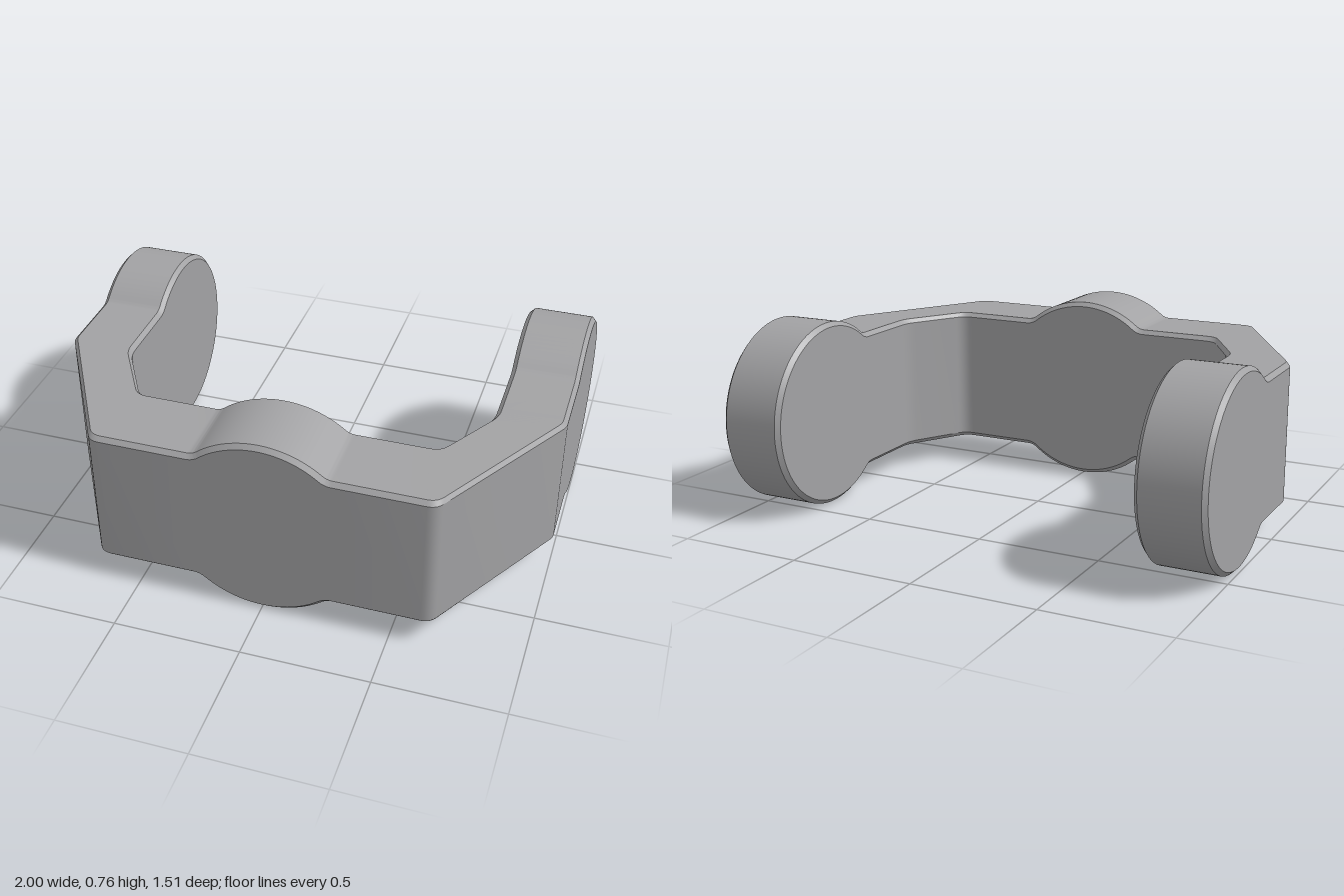
import * as THREE from 'three';
import { toCreasedNormals } from 'three/addons/utils/BufferGeometryUtils.js';

const MID_Y = 0.38;   // height of the centre line
const BAND = 0.285;   // half height of the plain band
const BEVEL = 0.017;
const FILLET = 0.06;  // blend between band and round pads

// Upper outline of a round pad: from its blend with the band over to angle endPhi.
// Each point holds its position along the band (u), half height (h) and normal (nu, nh).
function padOutline(R, endPhi, arcSteps) {
  const du = Math.sqrt((R + FILLET) ** 2 - (BAND + FILLET) ** 2);
  const phi0 = Math.atan2(du, BAND + FILLET);
  const points = [];
  for (let i = 0; i < 6; i++) {
    const a = phi0 * i / 6;
    const nu = Math.sin(a), nh = Math.cos(a);
    points.push({ u: du - FILLET * nu, h: BAND + FILLET - FILLET * nh, nu, nh });
  }
  for (let i = 0; i <= arcSteps; i++) {
    const a = phi0 + (endPhi - phi0) * i / arcSteps;
    const nu = Math.sin(a), nh = Math.cos(a);
    points.push({ u: R * nu, h: R * nh, nu, nh });
  }
  return points;
}

// Rounded corner in plan, as [x, z] points
function corner(a, p, b, size, steps) {
  const P = new THREE.Vector2(...p);
  const toward = (q) => new THREE.Vector2(...q).sub(P).setLength(size).add(P);
  return new THREE.QuadraticBezierCurve(toward(a), P, toward(b)).getPoints(steps);
}

// Stations from the middle of the front to the tip of the left arm
function halfStations() {
  const stations = [];
  const zOut = 0.755, zIn = 0.435, xOut = 1, xIn = 0.735;

  // Front bar with its round bulge
  for (const p of padOutline(0.38, 0, 14).reverse()) {
    stations.push({ ...p, at: (u) => [[u, zOut], [u, zIn]] });
  }

  // Two bends between the front bar and the arm
  const outer = [[0, zOut], [0.651, zOut], [xOut, 0.15], [xOut, -0.1]];
  const inner = [[0, zIn], [0.59, zIn], [xIn, 0.185], [xIn, -0.1]];
  for (const k of [1, 2]) {
    const o = corner(outer[k - 1], outer[k], outer[k + 1], k === 1 ? 0.035 : 0.02, 5);
    const n = corner(inner[k - 1], inner[k], inner[k + 1], 0.04, 5);
    o.forEach((q, i) => stations.push({
      u: 0, h: BAND, nu: 0, nh: 1,
      at: () => [[q.x, q.y], [n[i].x, n[i].y]],
    }));
  }

  // Arm with its round end
  for (const p of padOutline(0.374, -Math.PI / 2, 40)) {
    stations.push({ ...p, at: (u) => [[xOut, -0.38 + u], [xIn, -0.38 + u]] });
  }
  return stations;
}

// Bevelled eight-point cross-section at a station
function section(s, mirror) {
  const column = (inset, side) => {
    const [o, n] = s.at(s.u - inset * s.nu);
    const f = BEVEL / Math.hypot(o[0] - n[0], o[1] - n[1]);
    const t = [0, f, 1 - f, 1][side];
    return [
      mirror * (o[0] + (n[0] - o[0]) * t),
      Math.max(0, s.h - inset * s.nh),
      o[1] + (n[1] - o[1]) * t,
    ];
  };
  const upper = [column(BEVEL, 0), column(0, 1), column(0, 2), column(BEVEL, 3)];
  const lower = upper.map(([x, h, z]) => [x, MID_Y - h, z]).reverse();
  return [...upper.map(([x, h, z]) => [x, MID_Y + h, z]), ...lower];
}

function bracketGeometry() {
  const half = halfStations();
  const rings = [
    ...half.map((s) => section(s, 1)).reverse(),
    ...half.slice(1).map((s) => section(s, -1)),
  ];
  const index = [];
  for (let i = 0; i < rings.length - 1; i++) {
    for (let j = 0; j < 8; j++) {
      const k = (j + 1) % 8;
      const a = i * 8 + j, b = i * 8 + k, c = b + 8, d = a + 8;
      index.push(a, b, c, a, c, d);
    }
  }
  const geometry = new THREE.BufferGeometry();
  geometry.setAttribute('position', new THREE.Float32BufferAttribute(rings.flat(2), 3));
  geometry.setIndex(index);
  return toCreasedNormals(geometry, 0.5);
}

export function createModel() {
  const grey = new THREE.MeshStandardMaterial({ color: 0xa2a2a4 });
  grey.name = 'grey';

  const bracket = new THREE.Mesh(bracketGeometry(), grey);
  bracket.name = 'bracket';

  const model = new THREE.Group();
  model.name = 'roundedBracket';
  model.add(bracket);
  return model;
}
